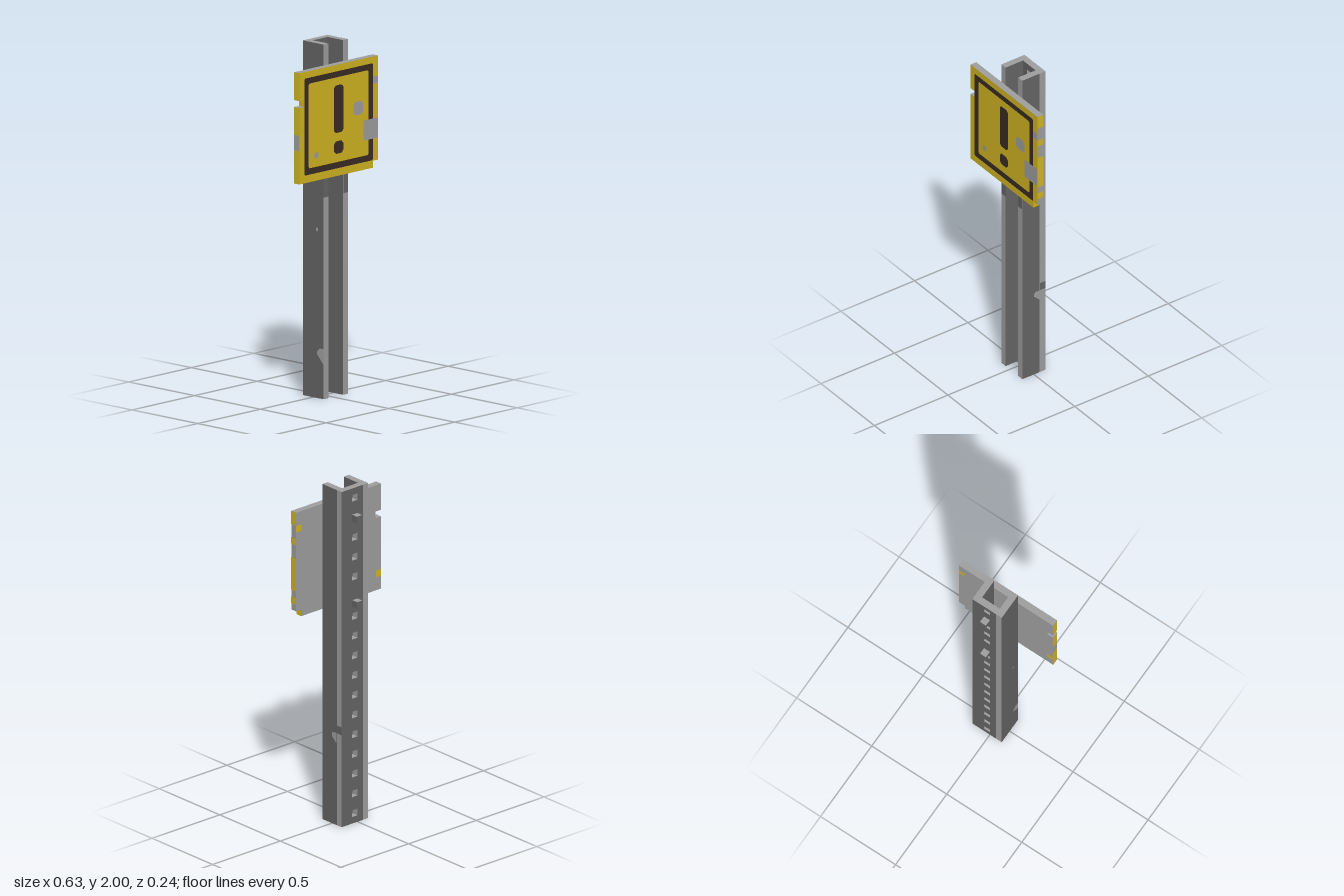
import * as THREE from 'three';

const U = 2 / 51; // one block of the grid the model is laid out on

const mat = (name, color) => Object.assign(new THREE.MeshStandardMaterial({ color }), { name });

export function createModel() {
  const light = mat('light steel', 0x9f9f9f);
  const dark = mat('dark steel', 0x656565);
  const yellow = mat('sign yellow', 0xd2b622);
  const brown = mat('sign dark brown', 0x3a2c24);
  const red = mat('rust red', 0xd06c6c);
  const model = new THREE.Group();

  const add = (name, geometry, material, parent = model) => {
    const mesh = new THREE.Mesh(geometry, material);
    mesh.name = name;
    parent.add(mesh);
    return mesh;
  };
  // Box between block coordinates; materials in order +x, -x, +y, -y, +z, -z
  const box = (name, [x0, x1], [y0, y1], [z0, z1], material) => {
    const mesh = add(name, new THREE.BoxGeometry((x1 - x0) * U, (y1 - y0) * U, (z1 - z0) * U), material);
    mesh.position.set((x0 + x1) / 2 * U, (y0 + y1) / 2 * U, (z0 + z1) / 2 * U);
    return mesh;
  };
  const shape = (pts) => new THREE.Shape(pts.map(([x, y]) => new THREE.Vector2(x * U, y * U)));
  const rect = (x0, x1, y0, y1) => [[x0, y0], [x1, y0], [x1, y1], [x0, y1]];
  const chamfered = (x0, x1, y0, y1, c) => [
    [x0 + c, y0], [x1 - c, y0], [x1, y0 + c], [x1, y1 - c],
    [x1 - c, y1], [x0 + c, y1], [x0, y1 - c], [x0, y0 + c]];
  // Painted flat shapes facing the front, back or one side
  const paint = (name, pts, z, material, hole) => {
    const s = shape(pts);
    if (hole) s.holes.push(shape(hole));
    const mesh = add(name, new THREE.ShapeGeometry(s), material);
    mesh.position.z = z * U;
    return mesh;
  };
  const paintBack = (name, [x0, x1, y0, y1], z, material) => {
    paint(name, rect(-x1, -x0, y0, y1), z, material).rotation.y = Math.PI;
  };
  // Local x runs along -z on the left side (+x) and along +z on the right side
  const paintSide = (name, side, x, pts, material) => {
    const mesh = paint(name, pts, 0, material);
    mesh.rotation.y = side * Math.PI / 2;
    mesh.position.x = x * U;
  };

  // Post web with a row of square holes
  const web = shape(rect(-1, 2, 0, 51));
  for (let y = 1; y < 51; y += 3) {
    if (y !== 34) web.holes.push(shape(rect(0, 1, y, y + 1)));
    // Rust stain below each exposed hole
    if (y < 32) paint('rustStain', [[0, y - 0.55], [0.25, y - 0.55], [0.25, y - 0.95], [0.75, y - 0.95],
      [0.75, y - 0.55], [1, y - 0.55], [1, y], [0, y]], -0.96, red);
  }
  add('postWeb', new THREE.ExtrudeGeometry(web, { depth: U, bevelEnabled: false }), [dark, light])
    .position.z = -2 * U;

  // Post flanges
  box('rightFlange', [-2, -1], [0, 51], [-2, 2], [dark, dark, light, light, light, light]);
  box('leftFlange', [2, 3], [0, 51], [-1, 2], [dark, dark, light, light, light, dark]);
  box('leftCorner', [2, 3], [0, 51], [-2, -1], [light, dark, light, light, dark, dark]);
  for (const x of [-2, 2]) paint('flangeDarkPatch', rect(x, x + 1, 29, 32), 2.03, dark);

  // Worn paint on the flange sides
  paintSide('leftDarkPatch', 1, 3.03, rect(1, 2, 14, 15.2), dark);
  paintSide('leftChip', 1, 3.03, [[1, 12.4], [1, 14], [0.2, 14], [0, 13.7], [0, 13.3]], light);
  paintSide('rightChip', -1, -2.03, [[2, 5], [2, 7.2], [1.3, 7.2], [0.8, 6.7], [0.8, 6.3]], light);
  paintSide('rightSmallChip', -1, -2.03, rect(0.6, 1, 24, 24.5), light);

  // Bolts holding the sign
  for (const y of [33, 46]) {
    box('bolt', [0, 1], [y, y + 1], [-3, -2], [dark, dark, light, light, dark, dark]);
    paint('boltEnd', rect(0, 1, y, y + 1), -0.96, yellow);
  }

  // Sign plate with a side notch and a missing corner
  const outline = [[-8, 32], [7, 32], [7, 33], [8, 33], [8, 48], [-8, 48],
    [-8, 44], [-7, 44], [-7, 43], [-8, 43]];
  add('signPlate', new THREE.ExtrudeGeometry(shape(outline), { depth: U, bevelEnabled: false }), light)
    .position.z = 2 * U;
  paint('signFace', outline, 3.02, yellow);

  // Sign edges and worn spots on its back
  for (const [a, b] of [[46, 48], [43, 44], [36, 41], [34, 35]])
    paintSide('leftEdgePaint', 1, 8.02, rect(-3, -2, a, b), yellow);
  paintSide('cornerPaint', 1, 7.02, rect(-3, -2, 32, 33), yellow);
  for (const [a, b] of [[44, 48], [39, 43], [32, 36.8]])
    paintSide('rightEdgePaint', -1, -8.02, rect(2, 3, a, b), yellow);
  paintSide('notchPaint', -1, -7.02, rect(2, 3, 43, 44), yellow);
  paintBack('backSpot', [7, 8, 45, 46], 1.98, yellow);
  paintBack('backSpot', [-8, -7, 34, 35], 1.98, yellow);

  // Warning symbol
  paint('signBorder', chamfered(-7, 7, 33.1, 47.05, 0.2), 3.04, brown, chamfered(-6.1, 6.1, 34, 46.2, 0.2));
  paint('exclamationBar', chamfered(-0.95, 0.95, 38.2, 45.05, 0.35), 3.04, brown);
  paint('exclamationDot', chamfered(-0.95, 0.95, 35.2, 37, 0.4), 3.04, brown);

  // Bare metal patches on the sign face
  paint('edgePatch', chamfered(5, 8, 36.2, 39.1, 0.15), 3.07, light);
  paint('smallEdgePatch', rect(7, 8, 44.1, 45.1), 3.07, light);
  paint('roundPatch', chamfered(2.95, 4.95, 40.1, 42.05, 0.4), 3.07, light);
  paint('tinyPatch', chamfered(-5.05, -4.1, 35.2, 36.1, 0.3), 3.07, light);

  return model;
}
